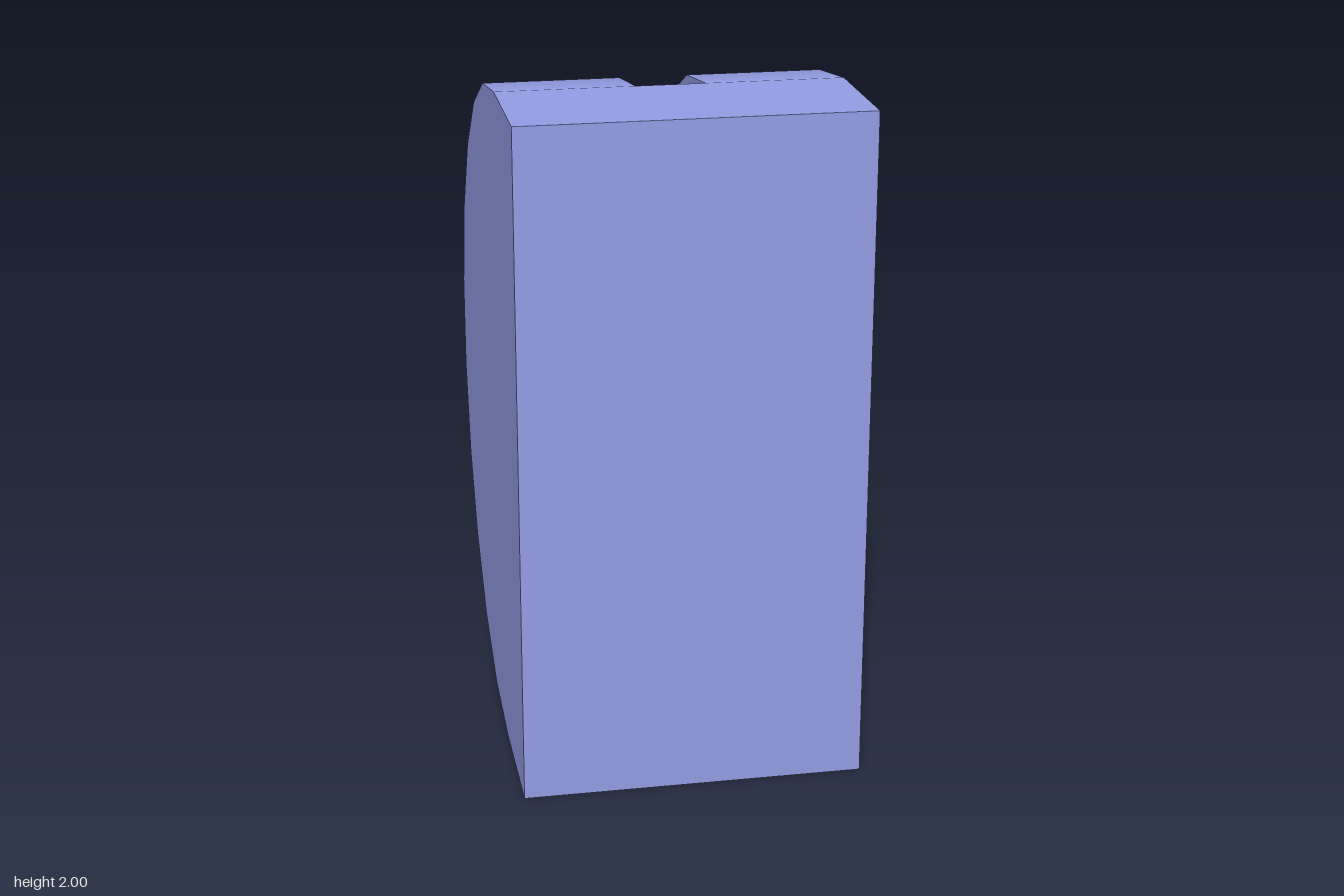
import * as THREE from 'three';

const WIDTH = 1, GROOVE = 0.2, RADIUS = 1, CORE_RADIUS = 0.7;
const BLOCK_DEPTH = 0.4, SEGMENTS = 11;
// the faceted half round reaches slightly less than its full radius
const DEPTH = BLOCK_DEPTH + RADIUS * Math.cos(Math.PI / SEGMENTS / 2);
const AXIS_Z = DEPTH / 2 - BLOCK_DEPTH;

export function createModel() {
  const model = new THREE.Group();
  model.name = 'groovedHalfRound';
  const material = new THREE.MeshStandardMaterial({ color: 0x949ee6 });

  const add = (name, geometry, x, z) => {
    const mesh = new THREE.Mesh(geometry, material);
    mesh.name = name;
    mesh.position.set(x, RADIUS, z);
    model.add(mesh);
  };

  // half cylinder lying along x, its round side facing the back
  const halfRound = (radius, width, open) =>
    new THREE.CylinderGeometry(radius, radius, width, SEGMENTS, 1, open, Math.PI / 2, Math.PI)
      .rotateZ(Math.PI / 2);

  // flat-faced front block
  add('frontBlock', new THREE.BoxGeometry(WIDTH, 2 * RADIUS, BLOCK_DEPTH), 0, AXIS_Z + BLOCK_DEPTH / 2);

  // two rounded cheeks on either side of the groove
  const cheekWidth = (WIDTH - GROOVE) / 2;
  for (const [name, side] of [['leftCheek', 1], ['rightCheek', -1]]) {
    add(name, halfRound(RADIUS, cheekWidth, false), side * (GROOVE + cheekWidth) / 2, AXIS_Z);
  }

  // rounded floor of the groove
  add('grooveCore', halfRound(CORE_RADIUS, GROOVE, true), 0, AXIS_Z);

  return model;
}
